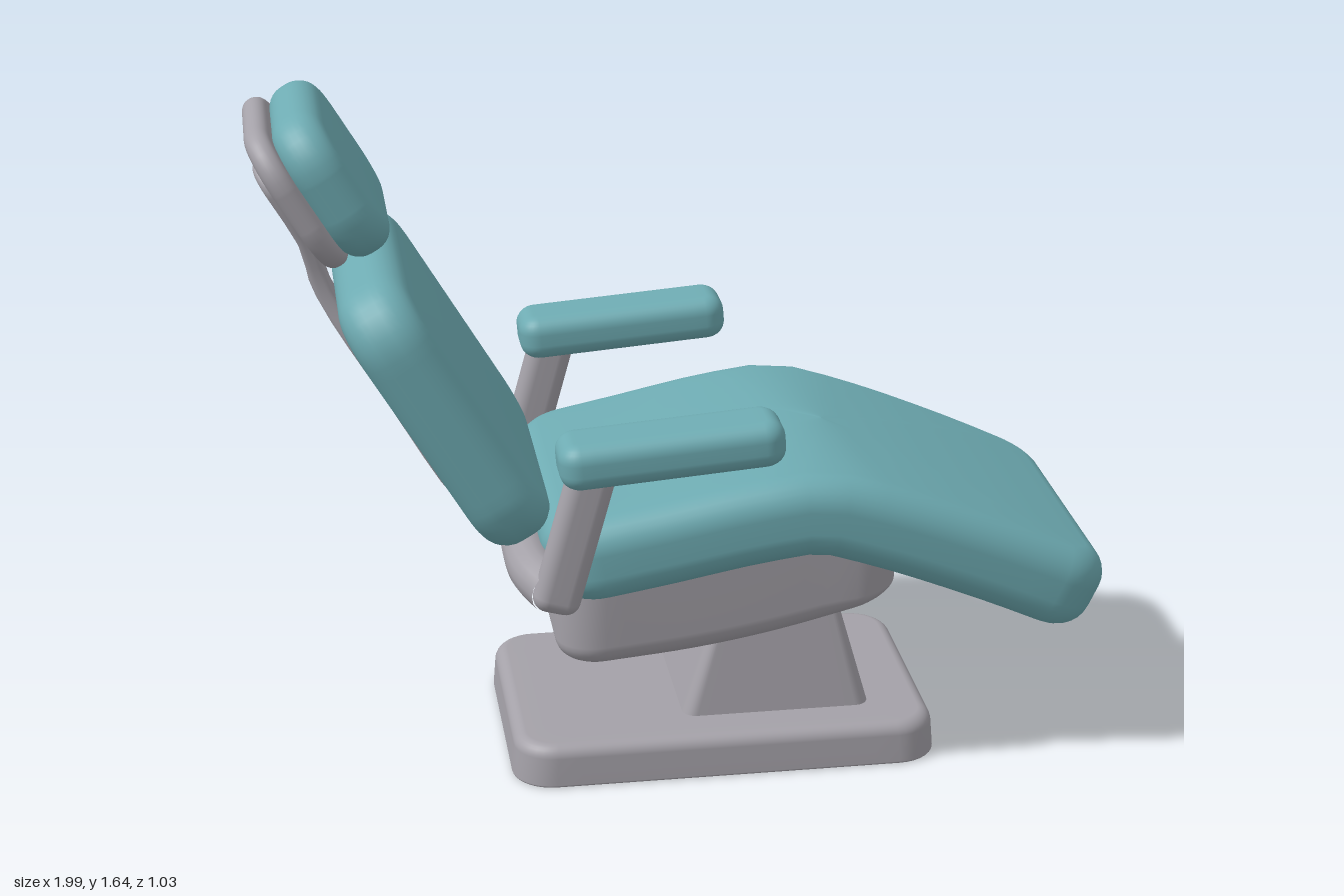
import * as THREE from 'three';

const teal = new THREE.MeshStandardMaterial({ color: 0x6eabb2 });
teal.name = 'teal upholstery';
const grey = new THREE.MeshStandardMaterial({ color: 0xa4a1a8 });
grey.name = 'grey shell';

// Rounded-rectangle outline in x/z with evenly divided straight edges
function outline(hx, hz, radius) {
  const r = Math.min(radius, hx, hz), pts = [], ARC = 8, EDGE = 14;
  const corners = [[1, 1], [-1, 1], [-1, -1], [1, -1]];
  corners.forEach(([sx, sz], i) => {
    for (let k = 0; k <= ARC; k++) {
      const a = (i + k / ARC) * Math.PI / 2;
      pts.push([sx * (hx - r) + r * Math.cos(a), sz * (hz - r) + r * Math.sin(a)]);
    }
    const [nx, nz] = corners[(i + 1) % 4];
    const a = (i + 1) * Math.PI / 2, [x0, z0] = pts[pts.length - 1];
    const x1 = nx * (hx - r) + r * Math.cos(a), z1 = nz * (hz - r) + r * Math.sin(a);
    for (let k = 1; k < EDGE; k++) {
      pts.push([x0 + (x1 - x0) * k / EDGE, z0 + (z1 - z0) * k / EDGE]);
    }
  });
  return pts;
}

// Padded slab: length x, thickness y, width z, plan corner radius and soft edges.
// The optional rule moves every vertex, to bend or taper the slab.
function slab(length, thick, width, { corner, edge, edgeLow = edge, crown = 0, rule }) {
  const rings = [], CAP = 10, BEVEL = 7;
  const ring = (inset, y, scale = 1) => rings.push(
    outline(length / 2 - inset, width / 2 - inset, Math.max(corner - inset, 0.006))
      .map(([x, z]) => new THREE.Vector3(x * scale, y, z * scale)));
  const h = thick / 2;
  for (let k = 0; k < CAP; k++) ring(edgeLow, -h - crown * (1 - (k / CAP) ** 2), k / CAP);
  for (let k = 0; k <= BEVEL; k++) {
    const a = k / BEVEL * Math.PI / 2;
    ring(edgeLow * (1 - Math.sin(a)), -h + edgeLow * (1 - Math.cos(a)));
  }
  for (let k = 0; k <= BEVEL; k++) {
    const a = k / BEVEL * Math.PI / 2;
    ring(edge * (1 - Math.cos(a)), h - edge * (1 - Math.sin(a)));
  }
  for (let k = CAP - 1; k >= 0; k--) ring(edge, h + crown * (1 - (k / CAP) ** 2), k / CAP);

  const n = rings[0].length, index = [];
  for (let k = 0; k < rings.length - 1; k++) {
    for (let j = 0; j < n; j++) {
      const a = k * n + j, b = k * n + (j + 1) % n;
      index.push(a, a + n, b, b, a + n, b + n);
    }
  }
  const points = rings.flat();
  if (rule) points.forEach(rule);
  const geometry = new THREE.BufferGeometry().setFromPoints(points);
  geometry.setIndex(index);
  geometry.computeVertexNormals();
  return geometry;
}

// Rule that bends a slab along a curve in the x/y plane
function bendAlong(points, length, widthAt = () => 1) {
  const curve = new THREE.CatmullRomCurve3(points.map(([x, y]) => new THREE.Vector3(x, y, 0)));
  return v => {
    const t = THREE.MathUtils.clamp(v.x / length + 0.5, 0, 1);
    const p = curve.getPointAt(t), d = curve.getTangentAt(t);
    v.set(p.x - d.y * v.y, p.y + d.x * v.y, v.z * widthAt(t));
  };
}

export function createModel() {
  const model = new THREE.Group();
  model.name = 'recliningChair';
  const add = (name, geometry, material, x = 0, y = 0, z = 0, tilt = 0) => {
    const mesh = new THREE.Mesh(geometry, material);
    mesh.name = name;
    mesh.position.set(x, y, z);
    mesh.rotation.z = tilt;
    model.add(mesh);
    return mesh;
  };
  const lerp = THREE.MathUtils.lerp;

  // Floor plate, slightly wider at the floor
  add('basePlate', slab(1.04, 0.105, 0.67, {
    corner: 0.1, edge: 0.03, edgeLow: 0.006,
    rule: v => { const s = 1 - 0.15 * (v.y + 0.0525); v.x *= s; v.z *= s; },
  }), grey, 0.08, 0.0525);

  // Tapered pedestal
  add('pedestal', slab(0.47, 0.38, 0.43, {
    corner: 0.035, edge: 0.008,
    rule: v => {
      const t = (v.y + 0.19) / 0.38;
      v.x = v.x * lerp(1, 0.5, t) + 0.012 * t;
      v.z *= lerp(1, 0.79, t);
    },
  }), grey, 0.215, 0.28);

  // Seat pan with a curved underside
  const under = x => 0.31 + 0.085 * (x + 0.27) + 0.21 * Math.max(0, x + 0.1) ** 2;
  const upper = x => (x < 0.31 ? 0.525 + 0.16 * (x + 0.33) : 0.627 - 0.42 * (x - 0.31));
  add('seatPan', slab(0.82, 0.24, 0.72, {
    corner: 0.11, edge: 0.02, edgeLow: 0.06,
    rule: v => {
      const t = (v.y + 0.12) / 0.24;
      v.x += 0.08;
      v.z *= lerp(0.96, 1, t);
      v.y = lerp(under(v.x), upper(v.x), t);
    },
  }), grey);

  // Seat and leg cushion in one bent piece
  const seatPath = [[-0.36, 0.582], [-0.1, 0.63], [0.14, 0.676], [0.29, 0.69],
    [0.43, 0.65], [0.7, 0.541], [0.975, 0.412]];
  add('seatCushion', slab(1.4, 0.205, 0.84, {
    corner: 0.13, edge: 0.075, crown: 0.003,
    rule: bendAlong(seatPath, 1.4, t => 0.965 + 0.05 * Math.sin(Math.PI * t)),
  }), teal);

  // Backrest, headrest and headrest shell share one recline
  const recline = -1.036;
  add('backrest', slab(0.73, 0.175, 0.78, { corner: 0.15, edge: 0.07, crown: 0.008 }),
    teal, -0.575, 0.95, 0, recline);
  add('headrest', slab(0.37, 0.125, 0.51, { corner: 0.13, edge: 0.055, crown: 0.005 }),
    teal, -0.81, 1.473, 0, recline);
  add('headrestShell', slab(0.375, 0.06, 0.5, { corner: 0.13, edge: 0.028 }),
    grey, -0.89, 1.443, 0, recline);

  // Spine strap up the back, stepping forward at the neck
  const strapPath = [[-0.41, 0.585], [-0.49, 0.627], [-0.54, 0.68], [-0.69, 0.933], [-0.82, 1.152],
    [-0.851, 1.225], [-0.86, 1.285], [-0.9, 1.37], [-0.972, 1.492]];
  add('spineStrap', slab(1.1, 0.04, 0.16, {
    corner: 0.07, edge: 0.014,
    rule: bendAlong(strapPath, 1.1, t => 1 - 0.35 * Math.exp(-(((t - 0.7) / 0.13) ** 2))),
  }), grey);

  // Bowed crossbar carrying both arm posts
  const bar = new THREE.CatmullRomCurve3([
    new THREE.Vector3(-0.35, 0.56, -0.42), new THREE.Vector3(-0.385, 0.572, -0.33),
    new THREE.Vector3(-0.388, 0.575, 0), new THREE.Vector3(-0.385, 0.572, 0.33),
    new THREE.Vector3(-0.35, 0.56, 0.42)]);
  add('crossbar', new THREE.TubeGeometry(bar, 40, 0.057, 16), grey);

  // Armrests
  for (const [side, s] of [['left', 1], ['right', -1]]) {
    add(side + 'ArmPost', slab(0.4, 0.112, 0.075, { corner: 0.035, edge: 0.035 }),
      grey, -0.3, 0.705, s * 0.427, 1.3);
    add(side + 'ArmPad', slab(0.52, 0.108, 0.165, { corner: 0.05, edge: 0.04 }),
      teal, -0.08, 0.905, s * 0.432, 0.075);
  }
  return model;
}
